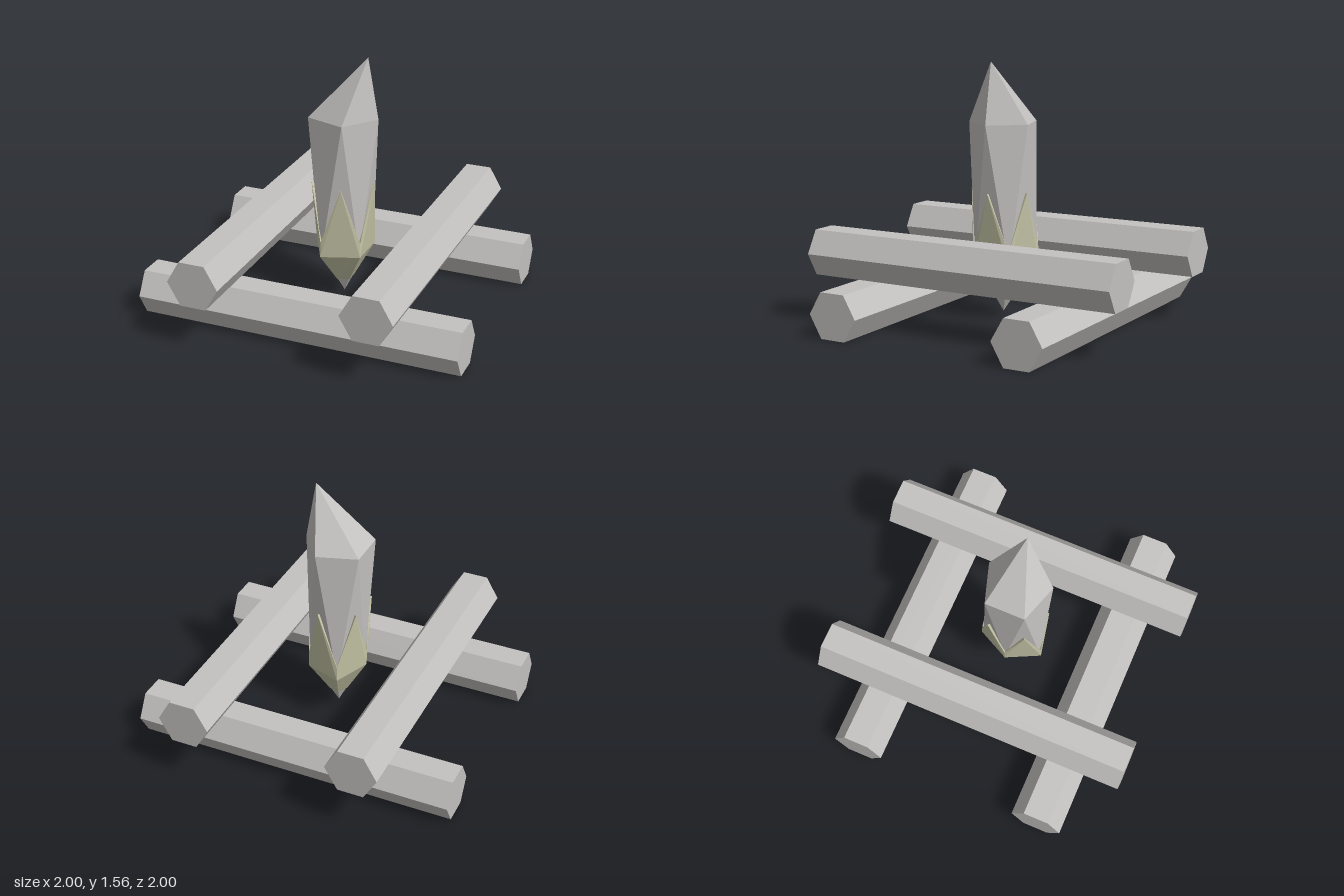
import * as THREE from 'three';

const stone = new THREE.MeshStandardMaterial({ color: 0xc4c2c0 });
stone.name = 'pale grey';
const olive = new THREE.MeshStandardMaterial({ color: 0xc6c6a8, side: THREE.DoubleSide });
olive.name = 'pale olive';

const CENTRE = new THREE.Vector3(0.02, 0.5, 0.04);
const v = (x, y, z) => new THREE.Vector3(x, y, z);

// Move a point horizontally away from the crystal axis
function outward(p, d) {
  const dir = v(p.x - CENTRE.x, 0, p.z - CENTRE.z).normalize();
  return p.clone().addScaledVector(dir, d);
}

// Flat-sided mesh from triangles, each turned to face away from the centre
function facetMesh(name, tris, material) {
  const points = [];
  for (const [a, b, c] of tris) {
    const n = b.clone().sub(a).cross(c.clone().sub(a));
    const mid = a.clone().add(b).add(c).divideScalar(3).sub(CENTRE);
    points.push(...(n.dot(mid) >= 0 ? [a, b, c] : [a, c, b]));
  }
  const geo = new THREE.BufferGeometry().setFromPoints(points);
  geo.computeVertexNormals();
  const mesh = new THREE.Mesh(geo, material);
  mesh.name = name;
  return mesh;
}

function hexLog(name, alongX, x, y, z) {
  const geo = new THREE.CylinderGeometry(0.159, 0.159, 2, 6).toNonIndexed();
  if (alongX) geo.rotateZ(Math.PI / 2);
  else geo.rotateY(Math.PI / 2).rotateX(Math.PI / 2);
  geo.computeVertexNormals();
  const mesh = new THREE.Mesh(geo, stone);
  mesh.name = name;
  mesh.position.set(x, y, z);
  return mesh;
}

export function createModel() {
  const model = new THREE.Group();
  model.name = 'crystalOnLogs';

  // Two crossed pairs of logs
  model.add(
    hexLog('frontLog', true, 0, 0.138, 0.608),
    hexLog('backLog', true, 0, 0.138, -0.6),
    hexLog('rightLog', false, -0.51, 0.413, 0),
    hexLog('leftLog', false, 0.547, 0.413, 0)
  );

  // Crystal: two pentagon rings, half a step apart, with a point at each end
  const apex = v(0.175, 1.565, 0.04);
  const tip = v(0.03, 0.04, 0.04);
  const top = [];
  for (let k = 0; k < 5; k++) {
    const a = (k * Math.PI * 2) / 5;
    top.push(v(0.024 + 0.218 * Math.cos(a), 1.195, 0.04 + 0.212 * Math.sin(a)));
  }
  const low = [
    v(0.17, 0.36, 0.155), v(-0.043, 0.36, 0.23), v(-0.143, 0.385, 0.04),
    v(-0.043, 0.36, -0.15), v(0.17, 0.36, -0.075)
  ];
  const crystal = [];
  for (let k = 0; k < 5; k++) {
    const n = (k + 1) % 5;
    crystal.push(
      [top[k], top[n], apex],
      [top[k], top[n], low[k]],
      [low[k], low[n], top[n]],
      [low[k], low[n], tip]
    );
  }
  model.add(facetMesh('crystal', crystal, stone));

  // Cup: a thin shell with five pointed leaves, open at the bottom tip
  const t = 0.012;
  const ridge = low.map((p) => outward(p, t).add(v(0, -0.02, 0)));
  const base = low.map((p) => outward(p.clone().lerp(tip, 0.7), 0.005));
  const notchIn = low.map((p, k) =>
    p.clone().lerp(top[k].clone().add(top[(k + 1) % 5]).multiplyScalar(0.5), 0.09));
  const notch = notchIn.map((p) => outward(p, t));
  const cup = [];
  for (let k = 0; k < 5; k++) {
    const n = (k + 1) % 5;
    const peakIn = low[k].clone().add(low[n]).multiplyScalar(0.5).lerp(top[n], 0.51);
    const peak = outward(peakIn, t + 0.003);
    cup.push(
      [ridge[k], ridge[n], peak],
      [ridge[k], notch[k], peak],
      [ridge[n], notch[n], peak],
      [ridge[k], ridge[n], base[n]],
      [ridge[k], base[n], base[k]]
    );
    // Rim closing the leaf edge against the crystal
    for (const i of [k, n]) {
      cup.push([notch[i], peak, peakIn], [notch[i], peakIn, notchIn[i]]);
    }
  }
  model.add(facetMesh('leafCup', cup, olive));

  return model;
}
